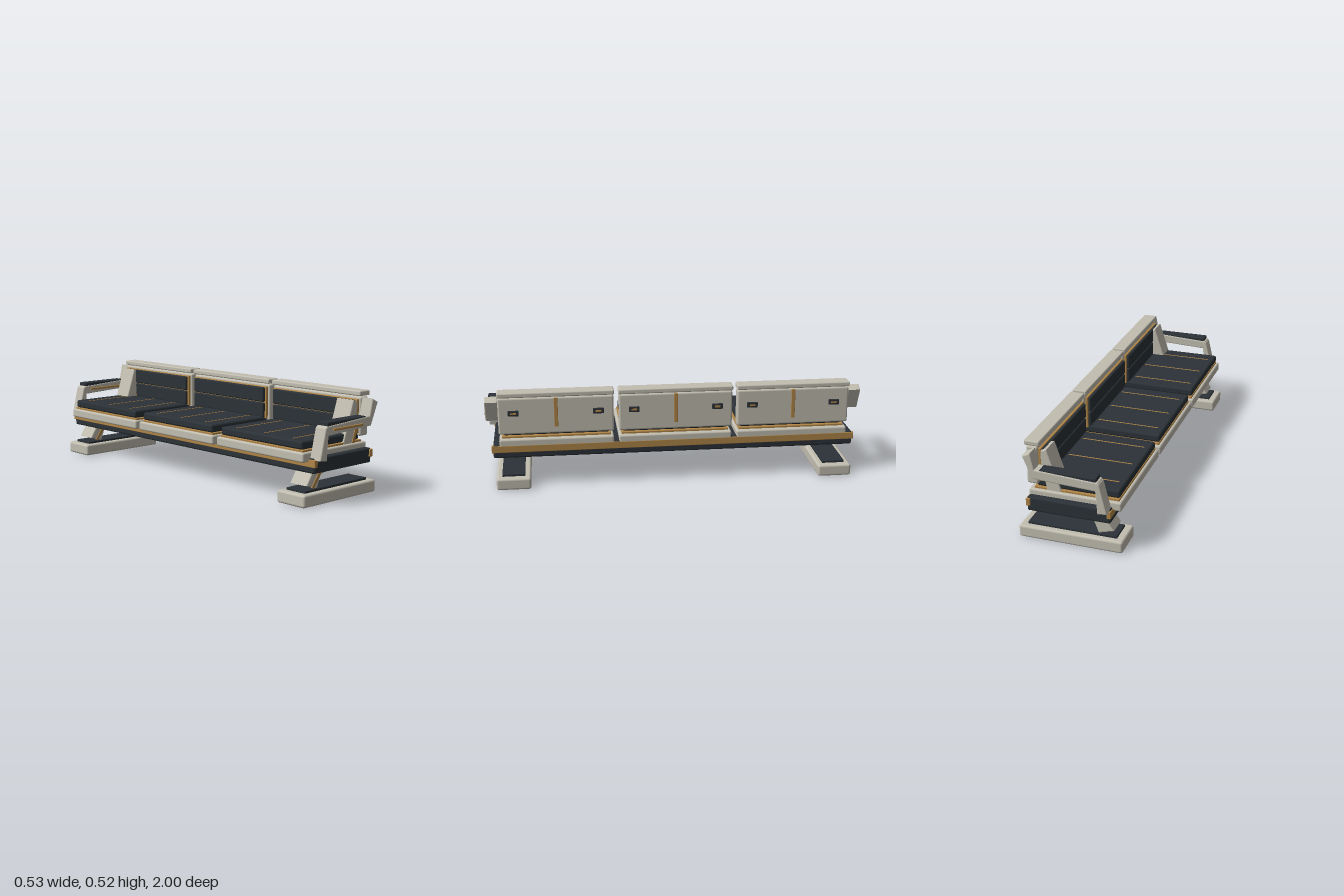
import * as THREE from 'three';
import { RoundedBoxGeometry } from 'three/addons/geometries/RoundedBoxGeometry.js';

const shell = new THREE.MeshStandardMaterial({ color: 0xc2beb1 });
const dark = new THREE.MeshStandardMaterial({ color: 0x2b3237 });
const gold = new THREE.MeshStandardMaterial({ color: 0xb08547 });

// Rounded box from its limits on x, y and z
function box(parent, name, mat, [x0, x1], [y0, y1], [z0, z1], r = 0.003) {
  const geo = new RoundedBoxGeometry(x1 - x0, y1 - y0, z1 - z0, 3, r);
  const mesh = new THREE.Mesh(geo, mat);
  mesh.name = name;
  mesh.position.set((x0 + x1) / 2, (y0 + y1) / 2, (z0 + z1) / 2);
  parent.add(mesh);
}

// Side profile extruded along z, centred on z, with softened edges
function profile(parent, name, mat, points, z, depth, bevel) {
  const shape = new THREE.Shape(points.map(([x, y]) => new THREE.Vector2(x, y)));
  const geo = new THREE.ExtrudeGeometry(shape, {
    depth: depth - 2 * bevel, bevelEnabled: bevel > 0, bevelThickness: bevel,
    bevelSize: bevel, bevelOffset: -bevel, bevelSegments: 2,
  });
  const mesh = new THREE.Mesh(geo, mat);
  mesh.name = name;
  mesh.position.z = z - depth / 2 + bevel;
  parent.add(mesh);
}

// Bent side support, running from foot to backrest
const SUPPORT = [[-0.212, 0.095], [-0.135, 0.073], [-0.11, 0.137], [0.112, 0.196],
  [0.165, 0.465], [0.122, 0.478], [0.05, 0.263], [0.035, 0.235], [-0.15, 0.19]];
const SUPPORT_INLAY = [[-0.178, 0.083], [-0.164, 0.076], [-0.108, 0.152], [0.112, 0.21],
  [0.168, 0.375], [0.152, 0.378], [0.1, 0.226], [-0.12, 0.165]];
// Armrest with front post and raised rear end
const ARM = [[-0.207, 0.227], [-0.158, 0.221], [-0.149, 0.341], [0.164, 0.355],
  [0.214, 0.469], [0.172, 0.489], [0.153, 0.405], [-0.16, 0.388], [-0.17, 0.378]];

// One end: foot, support and armrest
function makeEnd(side) {
  const g = new THREE.Group();
  g.name = side > 0 ? 'frontEnd' : 'rearEnd';
  const zf = side * 0.86, za = side * 0.96;
  box(g, 'foot', shell, [-0.267, 0.266], [0, 0.063], [zf - 0.09, zf + 0.09], 0.012);
  box(g, 'footPad', dark, [-0.23, 0.228], [0.058, 0.075], [zf - 0.06, zf + 0.06]);
  profile(g, 'support', shell, SUPPORT, zf, 0.108, 0.006);
  profile(g, 'supportInlay', gold, SUPPORT_INLAY, zf + 0.054, 0.008, 0);
  profile(g, 'armrest', shell, ARM, za, 0.068, 0.006);
  box(g, 'armPad', dark, [-0.154, 0.13], [0.385, 0.407], [za - 0.03, za + 0.03], 0.005);
  box(g, 'armInlay', gold, [-0.12, 0.096], [0.363, 0.375], [za + 0.028, za + 0.042]);
  return g;
}

// One seat with its backrest
function makeSeat(z) {
  const g = new THREE.Group();
  g.name = 'seatModule';
  g.position.z = z;
  const span = (w) => [-w / 2, w / 2];
  box(g, 'seatBase', shell, [-0.255, 0.214], [0.215, 0.263], span(0.6), 0.01);
  box(g, 'seatTrim', gold, [-0.24, 0.19], [0.26, 0.273], span(0.57));
  box(g, 'seatCushion', dark, [-0.241, 0.18], [0.273, 0.315], span(0.558), 0.012);
  for (const k of [-1, 0, 1])
    box(g, 'seatPiping', gold, [-0.21, 0.125], [0.312, 0.317], [k * 0.193 - 0.003, k * 0.193 + 0.003], 0.001);

  box(g, 'backShell', shell, [0.163, 0.221], [0.293, 0.49], span(0.6), 0.01);
  box(g, 'backCap', shell, [0.152, 0.23], [0.494, 0.52], span(0.605), 0.007);
  box(g, 'backTrim', gold, [0.15, 0.166], [0.305, 0.478], span(0.575));
  for (const y of [0.312, 0.395])
    box(g, 'backCushion', dark, [0.135, 0.156], [y, y + 0.079], span(0.555), 0.007);
  box(g, 'backStripe', gold, [0.217, 0.227], [0.33, 0.488], span(0.02), 0.002);

  // Small latches on the rear face
  for (const s of [-1, 1]) {
    const c = s * 0.22;
    box(g, 'latchPlate', dark, [0.217, 0.23], [0.395, 0.424], [c - 0.028, c + 0.028]);
    box(g, 'latchTab', gold, [0.225, 0.233], [0.404, 0.414], [c - 0.015, c + 0.015], 0.002);
  }
  return g;
}

export function createModel() {
  const bench = new THREE.Group();
  bench.name = 'bench';
  bench.position.z = -0.005;

  // Long platform with trim on both edges
  box(bench, 'platform', dark, [-0.212, 0.212], [0.16, 0.235], [-0.96, 0.96], 0.01);
  for (const x of [-0.205, 0.204])
    box(bench, 'platformTrim', gold, [x - 0.011, x + 0.011], [0.191, 0.229], [-0.968, 0.968]);

  for (const k of [-1, 0, 1]) bench.add(makeSeat(k * 0.627));
  for (const side of [-1, 1]) bench.add(makeEnd(side));

  const model = new THREE.Group();
  model.name = 'model';
  model.add(bench);
  return model;
}
